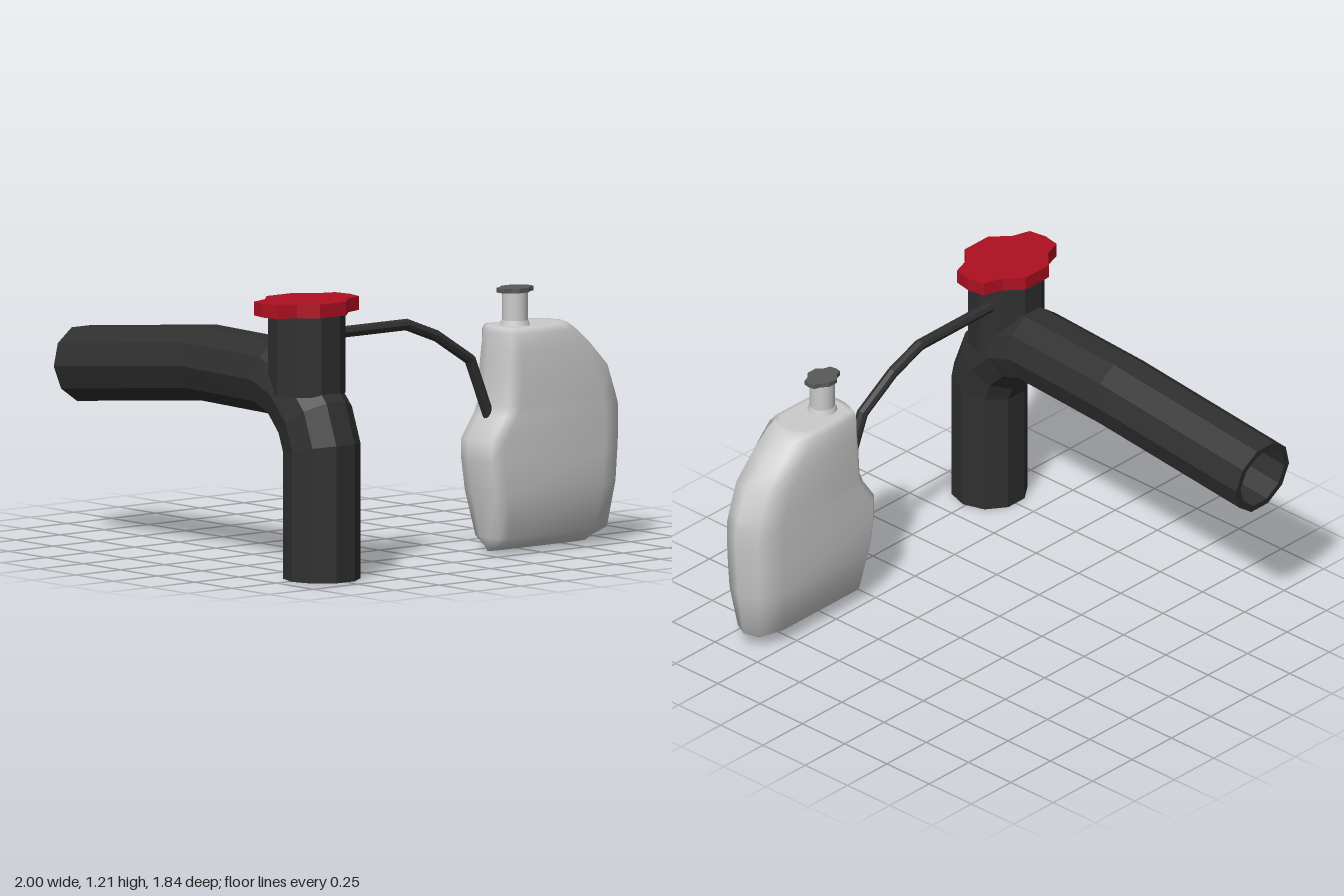
import * as THREE from 'three';

const mat = (color, flat = true) =>
  new THREE.MeshStandardMaterial({ color, flatShading: flat });
const RUBBER = 0x303030;

// Skin a list of equal-length rings (counter-clockwise around the direction of travel)
function loft(rings) {
  const n = rings[0].length, pos = [], idx = [];
  rings.forEach(r => r.forEach(p => pos.push(p.x, p.y, p.z)));
  for (let i = 0; i < rings.length - 1; i++) {
    for (let j = 0; j < n; j++) {
      const a = i * n + j, b = i * n + (j + 1) % n;
      idx.push(a, b, b + n, a, b + n, a + n);
    }
  }
  const g = new THREE.BufferGeometry();
  g.setAttribute('position', new THREE.Float32BufferAttribute(pos, 3));
  g.setIndex(idx);
  g.computeVertexNormals();
  return g;
}

// Mitred rings along a path that bends around the axis 'side'
function pathRings(path, radius, sides, side) {
  const pts = path.map(p => new THREE.Vector3(...p));
  return pts.map((p, i) => {
    const a = pts[Math.max(i - 1, 0)], b = pts[Math.min(i + 1, pts.length - 1)];
    const d1 = (i ? p.clone().sub(a) : b.clone().sub(p)).normalize();
    const d2 = (i < pts.length - 1 ? b.clone().sub(p) : d1.clone()).normalize();
    const t = d1.clone().add(d2).normalize();
    const v = t.clone().cross(side).normalize().divideScalar(t.dot(d1));
    return Array.from({ length: sides }, (_, j) => {
      const ang = j / sides * Math.PI * 2;
      return p.clone().addScaledVector(side, radius * Math.cos(ang))
        .addScaledVector(v, radius * Math.sin(ang));
    });
  });
}

// Ring shrunk towards its centre
function shrink(ring, s) {
  const c = new THREE.Vector3();
  ring.forEach(p => c.addScaledVector(p, 1 / ring.length));
  return ring.map(p => p.clone().sub(c).multiplyScalar(s).add(c));
}

// Lobed oval cap, base at y = 0
function capGeometry(scale, height) {
  const quarter = [[0.245, 0], [0.23, 0.08], [0.145, 0.108], [0.075, 0.179]];
  const half = [...quarter, ...quarter.slice(1).reverse().map(([x, z]) => [-x, z]), [-0.245, 0]];
  const outline = [...half, ...half.slice(1, -1).reverse().map(([x, z]) => [x, -z])];
  const shape = new THREE.Shape(outline.map(([x, z]) => new THREE.Vector2(x * scale, z * scale)));
  return new THREE.ExtrudeGeometry(shape, { depth: height, bevelEnabled: false })
    .rotateX(-Math.PI / 2);
}

export function createModel() {
  const group = new THREE.Group();
  const add = (name, geometry, material, x = 0, y = 0, z = 0) => {
    const m = new THREE.Mesh(geometry, material);
    m.name = name;
    m.position.set(x, y, z);
    group.add(m);
    return m;
  };

  // Main bent pipe, ten-sided and hollow
  const pipePath = [
    [-0.755, 0, 0.765], [-0.755, 0.57, 0.765], [-0.755, 0.69, 0.72], [-0.75, 0.8, 0.61],
    [-0.74, 0.85, 0.47], [-0.702, 0.85, -0.06], [-0.702, 0.757, -0.9],
  ];
  const xAxis = new THREE.Vector3(1, 0, 0);
  const outer = pathRings(pipePath, 0.168, 10, xAxis);
  const inner = pathRings(pipePath, 0.138, 10, xAxis).reverse();
  add('mainPipe', loft([...outer, ...inner, outer[0]]), mat(RUBBER));

  // Filler neck rising from the elbow, with its lobed cap
  add('fillerNeck', new THREE.CylinderGeometry(0.168, 0.168, 0.36, 10).rotateY(Math.PI / 2),
    mat(RUBBER), -0.755, 0.98, 0.665);
  add('fillerCap', capGeometry(1, 0.06), mat(0xae1021), -0.755, 1.15, 0.662);

  // Thin hose linking the neck to the bottle
  const hosePath = [
    [-0.65, 1.04, 0.625], [-0.16, 1.04, 0.625], [0.01, 0.975, 0.625],
    [0.2, 0.855, 0.625], [0.305, 0.6, 0.625],
  ];
  const hose = pathRings(hosePath, 0.025, 8, new THREE.Vector3(0, 0, 1));
  add('overflowHose',
    loft([shrink(hose[0], 0), ...hose, shrink(hose[hose.length - 1], 0)]), mat(RUBBER));

  // Bottle: horizontal sections as [y, left x, right x, half depth, corner taper]
  const sections = [
    [0.01, 0.3, 0.85, 0.015, 0.7], [0.07, 0.28, 0.95, 0.105, 0.9],
    [0.27, 0.24, 0.985, 0.137, 1], [0.41, 0.22, 0.995, 0.138, 1],
    [0.5, 0.22, 1.0, 0.138, 1], [0.6, 0.29, 1.0, 0.138, 1],
    [0.65, 0.312, 0.985, 0.138, 1], [0.78, 0.32, 0.94, 0.137, 1],
    [0.89, 0.33, 0.83, 0.133, 0.8], [0.96, 0.335, 0.742, 0.125, 0.6],
    [0.985, 0.345, 0.705, 0.11, 0.5],
  ];
  const rings = sections.map(([y, l, r, h, t]) => {
    const back = [
      [r, 0], [r - 0.04 * t, -0.65 * h], [r - 0.15 * t, -h],
      [l + 0.06 * t, -h], [l + 0.015, -0.75 * h], [l, -0.3 * h],
    ];
    const front = back.slice(1).reverse().map(([x, z]) => [x, -z]);
    return [...back, ...front].map(([x, z]) => new THREE.Vector3(x, y, z + 0.627));
  });
  const top = rings[rings.length - 1];
  add('bottle', loft([shrink(rings[0], 0), ...rings, shrink(top, 0.85), shrink(top, 0)]),
    mat(0xcccccc, false));

  // Bottle spout with a low collar and small cap
  add('spoutCollar', new THREE.CylinderGeometry(0.058, 0.068, 0.03, 16),
    mat(0xcccccc, false), 0.452, 0.992, 0.627);
  add('spout', new THREE.CylinderGeometry(0.056, 0.056, 0.15, 16),
    mat(0xcccccc, false), 0.452, 1.06, 0.627);
  add('spoutCap', capGeometry(0.355, 0.02), mat(0x595959), 0.452, 1.13, 0.627);

  return group;
}
